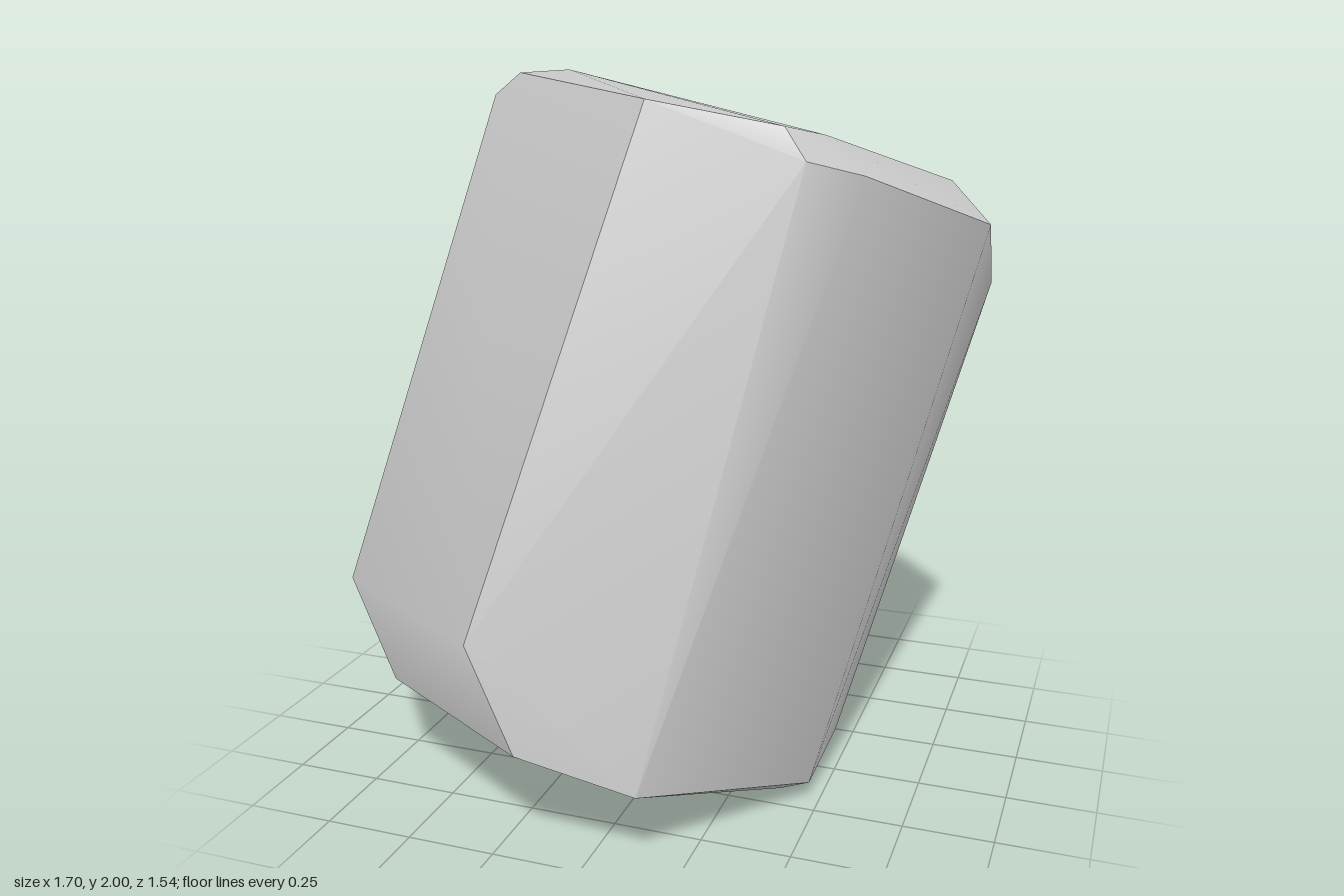
import * as THREE from 'three';
import { ConvexGeometry } from 'three/addons/geometries/ConvexGeometry.js';
import { toCreasedNormals } from 'three/addons/utils/BufferGeometryUtils.js';

export function createModel() {
  const group = new THREE.Group();

  // corners of the upper end; the lower end is the same set mirrored through the centre
  const upperCorners = [
    // rim around the top cap
    [-0.38, 2.0, 0.17], [-0.38, 2.0, -0.16], [0.08, 1.95, 0.45],
    [0.42, 1.89, 0.41], [0.48, 1.86, 0.24],
    // bevel below the rim
    [-0.47, 1.95, -0.19], [-0.47, 1.94, 0.14], [0.48, 1.81, 0.43], [0.6, 1.77, 0.32],
    [0.85, 1.61, -0.12], [0.69, 1.69, -0.46], [0.17, 1.69, -0.77], [-0.15, 1.77, -0.73],
    // upper ends of the long side edges
    [0.82, 1.4, -0.45], [0.3, 1.4, -0.77],
  ];
  const points = [];
  for (const [x, y, z] of upperCorners) {
    points.push(new THREE.Vector3(x, y, z), new THREE.Vector3(-x, 2 - y, -z));
  }

  // tilted, bevelled stone block
  const geometry = toCreasedNormals(new ConvexGeometry(points), 0.62);
  const block = new THREE.Mesh(geometry, new THREE.MeshStandardMaterial({ color: 0xcccccc }));
  block.name = 'tiltedBlock';
  group.add(block);
  return group;
}
